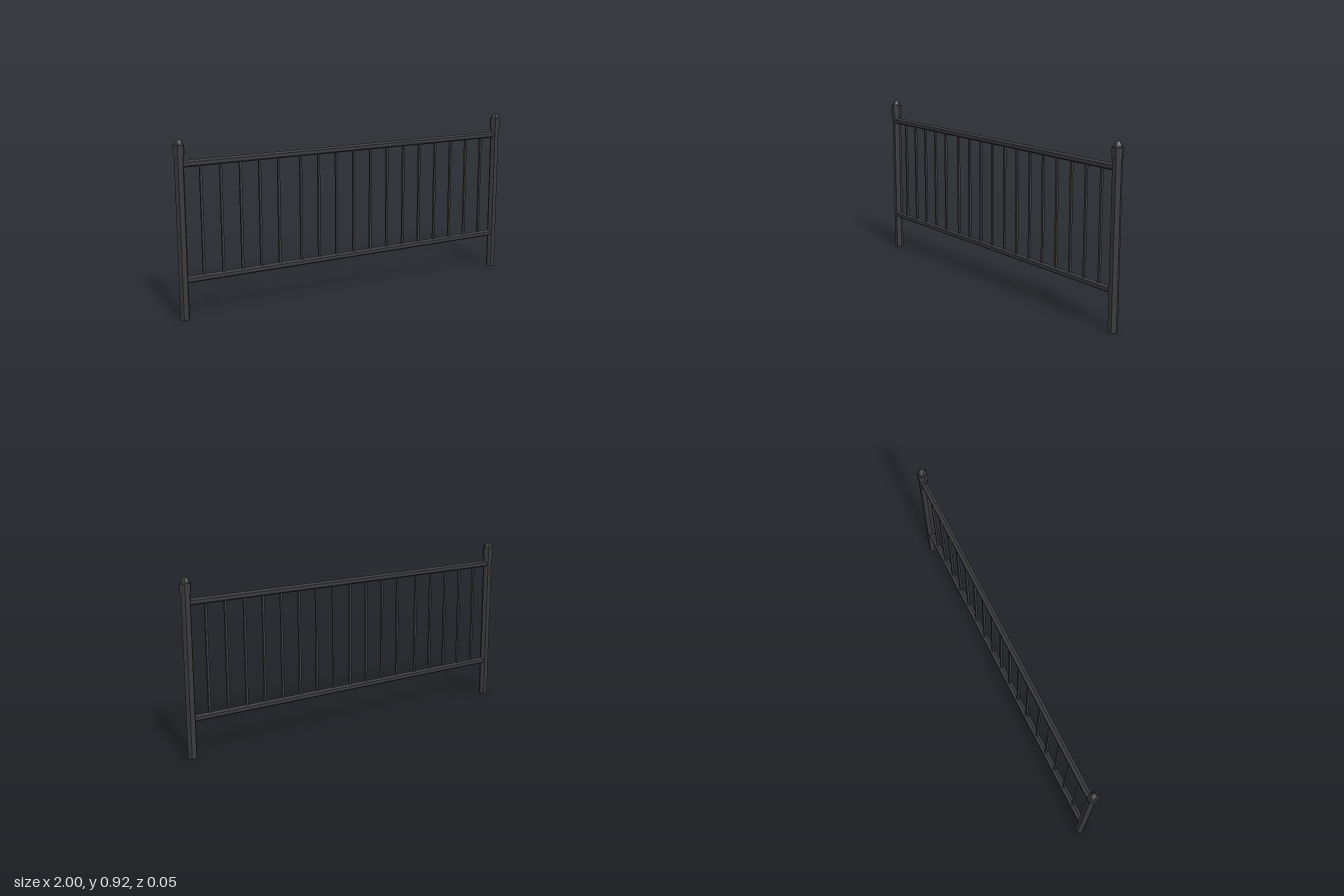
import * as THREE from 'three';

export function createModel() {
  const group = new THREE.Group();
  group.name = 'railing';
  const iron = new THREE.MeshStandardMaterial({ color: 0x3a3a3d });
  iron.name = 'dark iron';

  function add(parent, name, geometry, x, y) {
    const mesh = new THREE.Mesh(geometry.index ? geometry.toNonIndexed() : geometry, iron);
    mesh.geometry.computeVertexNormals(); // faceted shading
    mesh.name = name;
    mesh.position.set(x, y, 0);
    parent.add(mesh);
  }

  // hexagonal prism with corners on the x axis
  const hex = (rTop, rBottom, height, open = false) =>
    new THREE.CylinderGeometry(rTop, rBottom, height, 6, 1, open).rotateY(Math.PI / 2);

  // end posts with collar and domed finial
  for (const side of [-1, 1]) {
    const post = new THREE.Group();
    post.name = side > 0 ? 'leftPost' : 'rightPost';
    post.position.x = side * 0.97;
    add(post, 'postShaft', hex(0.025, 0.025, 0.85), 0, 0.425);
    add(post, 'postCollar', hex(0.03, 0.03, 0.05), 0, 0.865);
    const dome = [[0.023, 0], [0.022, 0.01], [0.018, 0.02], [0.011, 0.027], [0, 0.03]]
      .map(([r, y]) => new THREE.Vector2(r, y));
    add(post, 'postFinial', new THREE.LatheGeometry(dome, 6).rotateY(Math.PI / 2), 0, 0.89);
    group.add(post);
  }

  // horizontal rails
  for (const [name, y] of [['topRail', 0.795], ['bottomRail', 0.205]]) {
    add(group, name, hex(0.018, 0.018, 1.93).rotateZ(Math.PI / 2), 0, y);
  }

  // balusters in two evenly spaced runs
  for (const [start, count] of [[-0.86, 5], [-0.305, 12]]) {
    for (let i = 0; i < count; i++) {
      add(group, 'baluster', new THREE.BoxGeometry(0.012, 0.585, 0.012), start + i * 0.1066, 0.5);
    }
  }
  return group;
}
